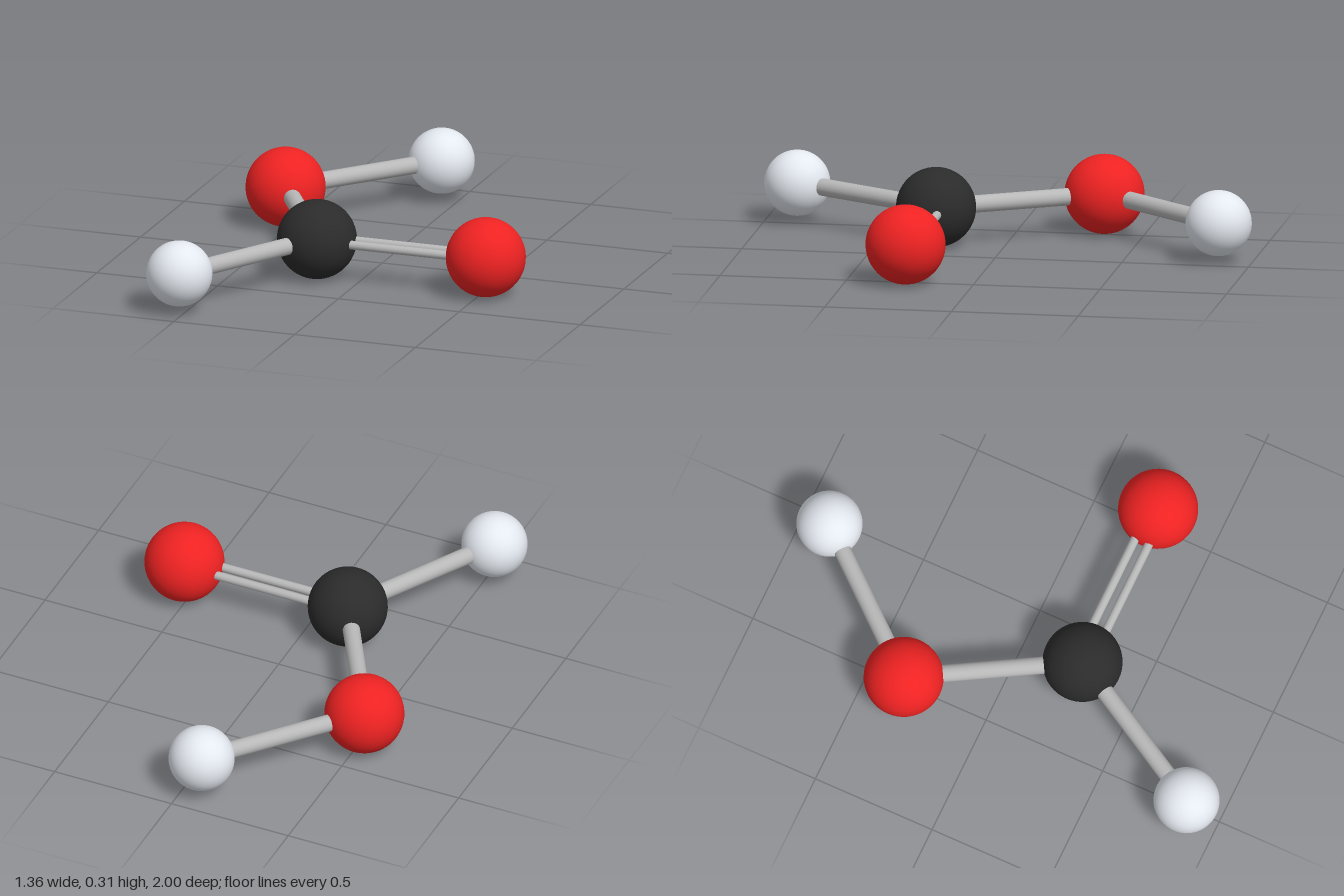
import * as THREE from 'three';

const Y = 0.156; // every atom lies in one horizontal plane
const BIG = 0.156, SMALL = 0.129;
const SINGLE = 0.034, DOUBLE = 0.0173, GAP = 0.029;

const paint = (color) => new THREE.MeshStandardMaterial({ color });

export function createModel() {
  const model = new THREE.Group();
  model.name = 'molecule';

  const black = paint(0x2b2b2b), red = paint(0xee2222);
  const white = paint(0xe4e9f0), grey = paint(0xb8b8b8);

  // Atoms
  function atom(name, x, z, radius, material) {
    const mesh = new THREE.Mesh(new THREE.SphereGeometry(radius, 48, 32), material);
    mesh.name = name;
    mesh.position.set(x, Y, z);
    model.add(mesh);
    return mesh.position;
  }
  const carbon = atom('carbonAtom', -0.175, 0.263, BIG, black);
  const doubleOxygen = atom('doubleBondedOxygenAtom', 0.524, 0.263, BIG, red);
  const bridgeOxygen = atom('bridgeOxygenAtom', -0.524, -0.342, BIG, red);
  const frontHydrogen = atom('frontHydrogenAtom', -0.524, 0.871, SMALL, white);
  const backHydrogen = atom('backHydrogenAtom', -0.07, -0.871, SMALL, white);

  // Bonds: rods between atom centres, shifted sideways for the double bond
  const up = new THREE.Vector3(0, 1, 0);
  function bond(name, a, b, radius = SINGLE, shift = 0) {
    const along = b.clone().sub(a);
    const length = along.length();
    along.normalize();
    const side = along.clone().cross(up).multiplyScalar(shift);
    const mesh = new THREE.Mesh(new THREE.CylinderGeometry(radius, radius, length, 24), grey);
    mesh.name = name;
    mesh.position.copy(a).add(b).multiplyScalar(0.5).add(side);
    mesh.quaternion.setFromUnitVectors(up, along);
    model.add(mesh);
  }
  bond('carbonHydrogenBond', carbon, frontHydrogen);
  bond('carbonOxygenBond', carbon, bridgeOxygen);
  bond('oxygenHydrogenBond', bridgeOxygen, backHydrogen);
  bond('doubleBondFrontRod', carbon, doubleOxygen, DOUBLE, GAP);
  bond('doubleBondBackRod', carbon, doubleOxygen, DOUBLE, -GAP);

  return model;
}
